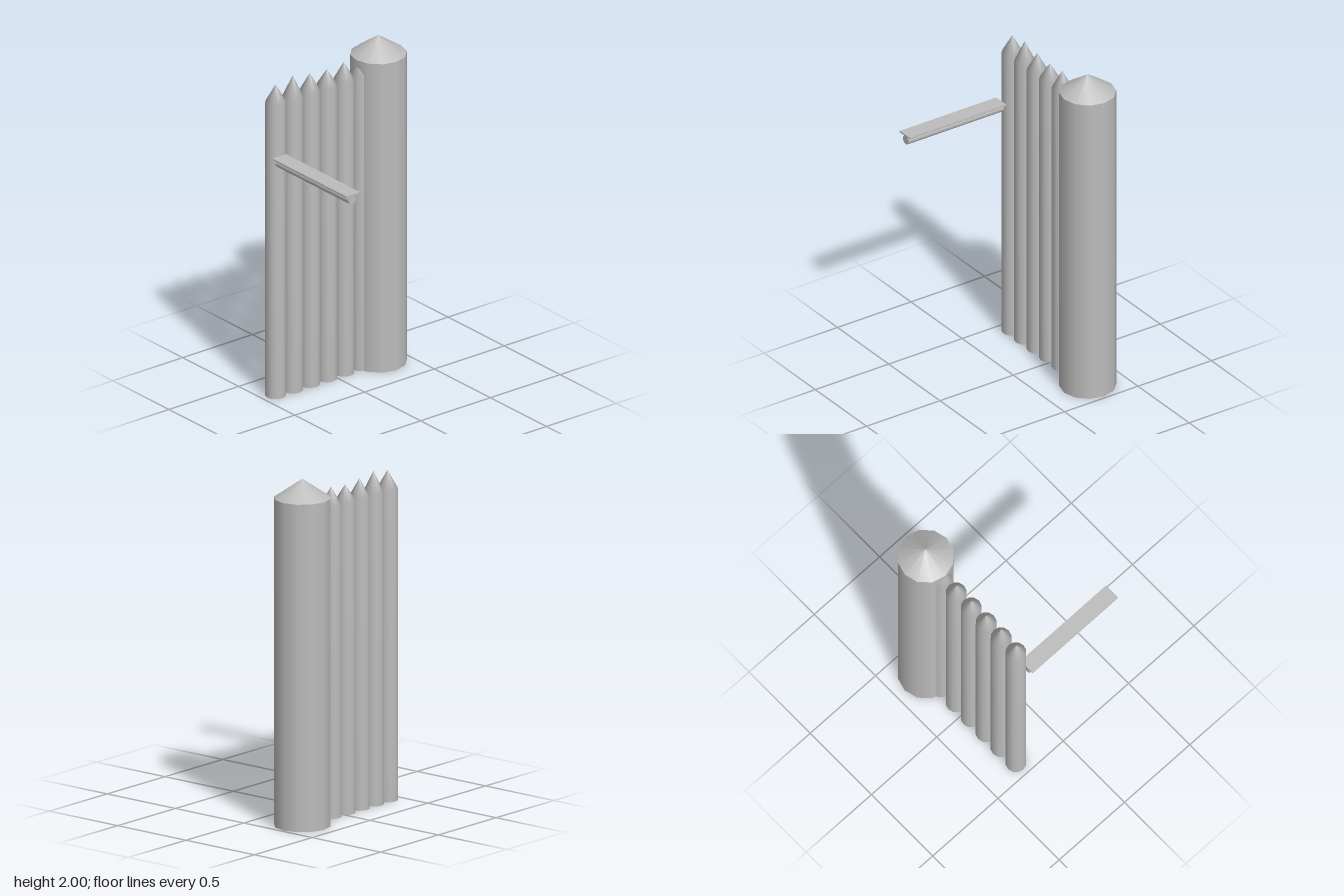
import * as THREE from 'three';

export function createModel() {
  const model = new THREE.Group();
  const grey = new THREE.MeshStandardMaterial({ color: 0xbcbcbc, side: THREE.DoubleSide });
  grey.name = 'grey';

  function add(name, geometry, x, y, z) {
    const mesh = new THREE.Mesh(geometry, grey);
    mesh.name = name;
    mesh.position.set(x, y, z);
    model.add(mesh);
    return mesh;
  }

  const lineX = -0.28;

  // Thick end post: open tube with a conical cap
  const postR = 0.16, postH = 1.89, postZ = -0.325;
  add('post', new THREE.CylinderGeometry(postR, postR, postH, 12, 1, true), lineX, postH / 2, postZ);
  add('postCap', new THREE.ConeGeometry(postR, 2 - postH, 12, 1, true), lineX, (postH + 2) / 2, postZ);

  // Row of sharpened stakes, open underneath, with slightly uneven tips
  const tips = [1.905, 1.925, 1.905, 1.895, 1.905, 1.905];
  tips.forEach((tip, i) => {
    const profile = [[0.059, 0], [0.059, 1.8], [0, tip]].map(([r, y]) => new THREE.Vector2(r, y));
    add('stake' + (i + 1), new THREE.LatheGeometry(profile, 12), lineX, 0, 0.412 - i * 0.122);
  });

  // Flat plank on top of the arm
  const startX = -0.22, railZ = 0.434;
  const plankLength = 0.657;
  add('plank', new THREE.BoxGeometry(plankLength, 0.008, 0.098), startX + plankLength / 2, 1.486, railZ);

  // Round log under the plank, flaring into a flange where they meet
  const section = new THREE.Shape();
  section.moveTo(-0.029, 0.03);
  section.lineTo(-0.029, 0.023);
  section.lineTo(-0.015, 0.022);
  const from = Math.PI * 0.72, to = Math.PI * 2.28;
  for (let i = 0; i <= 12; i++) {
    const a = from + (to - from) * i / 12;
    section.lineTo(0.027 * Math.cos(a), 0.027 * Math.sin(a));
  }
  section.lineTo(0.015, 0.022);
  section.lineTo(0.029, 0.023);
  section.lineTo(0.029, 0.03);
  const log = new THREE.ExtrudeGeometry(section, { depth: 0.65, bevelEnabled: false });
  log.rotateY(Math.PI / 2);
  add('armLog', log, startX, 1.452, railZ);

  return model;
}
